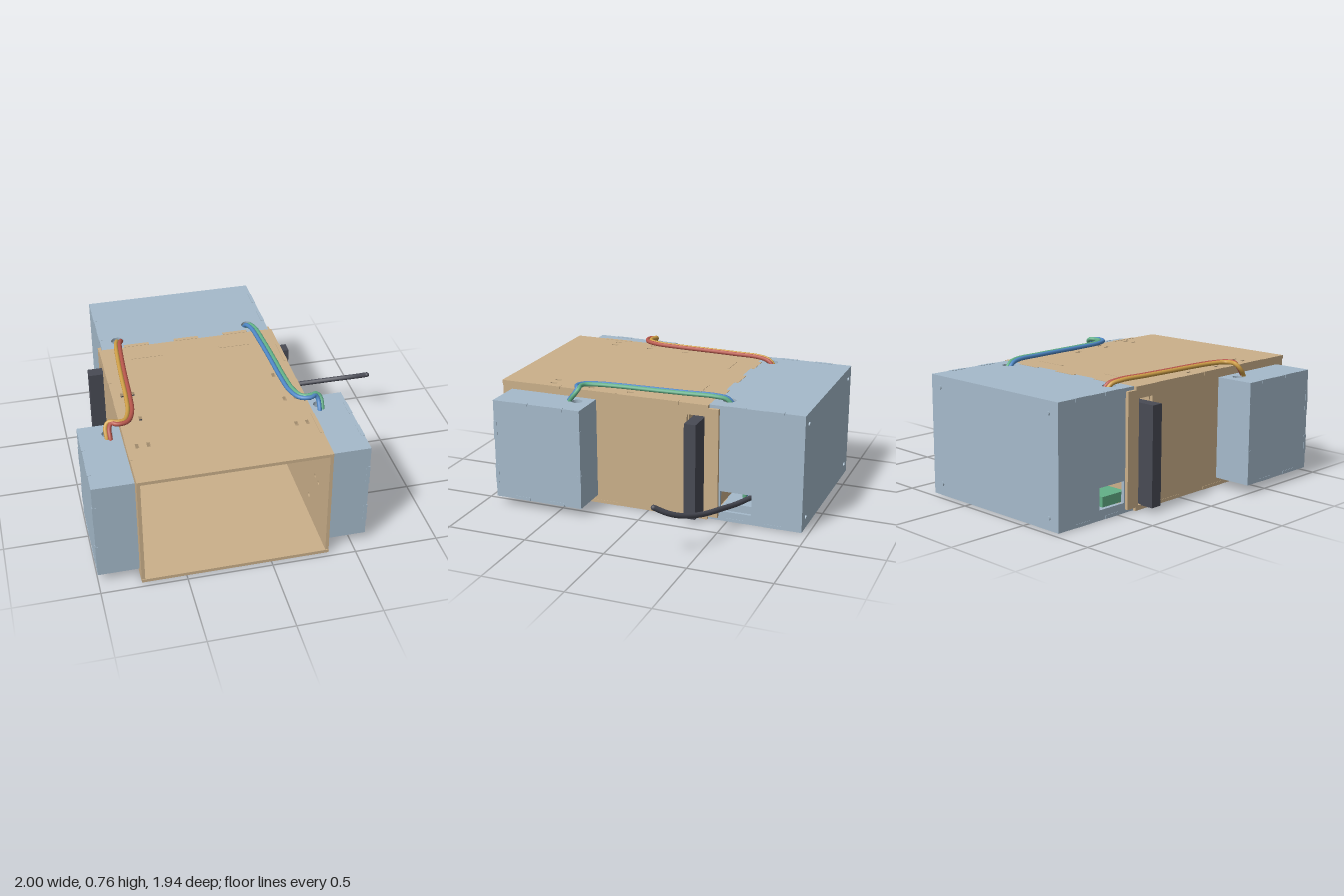
import * as THREE from 'three';

const mat = (name, color) => Object.assign(new THREE.MeshStandardMaterial({ color }), { name });
const M = {
  wood: mat('tan plywood', 0xcbb08a),
  blue: mat('pale blue panel', 0xa5bacb),
  dark: mat('dark grey', 0x484a54),
  green: mat('green', 0x62b088),
  wireBlue: mat('blue wire', 0x4f88c6),
  yellow: mat('yellow wire', 0xd0a048),
  red: mat('red wire', 0xb8574c),
};

const CX = -0.2075; // middle of the cabinet
const T = 0.02;     // panel thickness

const mesh = (parent, name, geo, material) => {
  const m = new THREE.Mesh(geo, material);
  m.name = name;
  parent.add(m);
  return m;
};

// Box given by its low and high limits on each axis
function block(parent, name, material, [x0, x1], [y0, y1], [z0, z1]) {
  const m = mesh(parent, name, new THREE.BoxGeometry(x1 - x0, y1 - y0, z1 - z0), material);
  m.position.set((x0 + x1) / 2, (y0 + y1) / 2, (z0 + z1) / 2);
  return m;
}

// Flat panel square to an axis; u,v are (z,y), (x,z) or (x,y).
// Holes are [u, v, radius] or [u0, u1, v0, v1].
function plate(parent, name, material, axis, low, [u0, u1], [v0, v1], holes = []) {
  const rect = (P, a, b, c, d) => {
    const p = new P();
    p.moveTo(a, c).lineTo(b, c).lineTo(b, d).lineTo(a, d).closePath();
    return p;
  };
  const shape = rect(THREE.Shape, u0, u1, v0, v1);
  for (const h of holes) {
    if (h.length === 3) shape.holes.push(new THREE.Path().absarc(h[0], h[1], h[2], 0, Math.PI * 2, true));
    else shape.holes.push(rect(THREE.Path, ...h));
  }
  const geo = new THREE.ExtrudeGeometry(shape, { depth: T, bevelEnabled: false, curveSegments: 12 });
  if (axis === 'x') geo.rotateY(-Math.PI / 2).translate(low + T, 0, 0);
  if (axis === 'y') geo.rotateX(Math.PI / 2).translate(0, low + T, 0);
  if (axis === 'z') geo.translate(0, 0, low);
  return mesh(parent, name, geo, material);
}

// Finger joints: slightly proud blocks along the long edges of a box
function edgeTabs(parent, material, [x0, x1], [y0, y1], zs, len) {
  const e = 0.002;
  for (const z of zs) for (const side of [0, 1]) for (const top of [0, 1]) {
    const x = side ? [x1 - T, x1 + e] : [x0 - e, x0 + T];
    const y = top ? [y1 - T, y1 + e] : [y0, y0 + T];
    block(parent, 'fingerJoint', material, x, y, [z - len / 2, z + len / 2]);
  }
}

function cabinet() {
  const g = new THREE.Group();
  g.name = 'woodenCabinet';
  const X = [-0.76, 0.345];
  const slots = [];
  for (const x of [-0.7, -0.635, 0.22, 0.285]) for (const z of [0.135, 0.39, 0.645])
    slots.push([x - 0.01, x + 0.01, z - 0.02, z + 0.02]);
  plate(g, 'topPanel', M.wood, 'y', 0.7, X, [-0.38, 0.97], slots);
  plate(g, 'bottomPanel', M.wood, 'y', 0, X, [-0.38, 0.97]);

  // Side walls with the tall slot for the screen and small fixing holes
  const wallHoles = [[-0.358, -0.248, 0.03, 0.65], [0.61, 0.15, 0.014]];
  for (const z of [0.445, 0.515, 0.705, 0.775]) wallHoles.push([z - 0.012, z + 0.012, 0.36, 0.385]);
  for (const x of [X[0], X[1] - T])
    plate(g, 'sideWall', M.wood, 'x', x, [-0.445, 0.965], [0.02, 0.7], wallHoles);

  // Window frame in front of the screen, and the rear divider
  plate(g, 'screenFrame', M.wood, 'z', -0.255, [-0.74, 0.325], [T, 0.7], [[-0.7, 0.285, 0.09, 0.6]]);
  plate(g, 'rearDivider', M.wood, 'z', -0.4, [-0.74, 0.325], [T, 0.7]);

  edgeTabs(g, M.wood, X, [0, 0.72], [-0.1, 0.3, 0.67], 0.19);
  for (const s of [-1, 1]) {
    block(g, 'frameTab', M.wood, [CX + s * 0.277 - 0.097, CX + s * 0.277 + 0.097], [0.7, 0.722], [-0.255, -0.235]);
    block(g, 'frameTab', M.wood, [CX + s * 0.277 - 0.097, CX + s * 0.277 + 0.097], [-0.002, 0.02], [-0.255, -0.235]);
  }
  for (const dx of [-0.315, 0, 0.315])
    for (const y of [[0.7, 0.722], [-0.002, 0.02]])
      block(g, 'dividerTab', M.wood, [CX + dx - 0.078, CX + dx + 0.078], y, [-0.405, -0.38]);
  return g;
}

function rearBox() {
  const g = new THREE.Group();
  g.name = 'rearElectronicsBox';
  const X = [-0.74, 0.325], Z = [-0.96, -0.38];
  plate(g, 'rearBoxTop', M.blue, 'y', 0.7, X, Z, [[-0.63, -0.465, 0.04], [0.21, -0.465, 0.04]]);
  plate(g, 'rearBoxBottom', M.blue, 'y', 0, X, Z);
  for (const x of [X[0], X[1] - T])
    plate(g, 'rearBoxSide', M.blue, 'x', x, [-0.94, -0.4], [T, 0.7], [[-0.65, -0.455, 0.06, 0.188]]);
  plate(g, 'rearBoxBack', M.blue, 'z', -0.96, X, [T, 0.7]);
  edgeTabs(g, M.blue, X, [0, 0.72], [-0.78, -0.55], 0.11);

  // Corner screws
  for (const x of [-0.665, 0.25]) for (const y of [0.07, 0.65]) {
    const s = mesh(g, 'screwHead', new THREE.CylinderGeometry(0.013, 0.013, 0.008, 12).rotateX(Math.PI / 2), M.blue);
    s.position.set(x, y, -0.964);
  }
  // Circuit board and power unit seen through the openings
  block(g, 'circuitBoard', M.green, [-0.715, -0.38], [0.06, 0.12], [-0.6, -0.42]);
  block(g, 'powerUnit', M.blue, [0.02, 0.29], [T, 0.1], [-0.66, -0.48]);
  return g;
}

function sideBox(s) {
  const g = new THREE.Group();
  g.name = s > 0 ? 'leftSideBox' : 'rightSideBox';
  const X = s > 0 ? [0.345, 0.585] : [-1, -0.76];
  const Y = [0.05, 0.67], Z = [0.335, 0.905];
  const innerY = [Y[0] + T, Y[1] - T];
  plate(g, 'sideBoxTop', M.blue, 'y', Y[1] - T, X, Z, [[CX + s * 0.6275, 0.425, 0.033]]);
  plate(g, 'sideBoxBottom', M.blue, 'y', Y[0], X, Z);
  for (const x of [X[0], X[1] - T])
    plate(g, 'sideBoxWall', M.blue, 'x', x, [Z[0] + T, Z[1] - T], innerY);
  for (const z of [Z[0], Z[1] - T])
    plate(g, 'sideBoxEnd', M.blue, 'z', z, X, innerY);

  // Finger joints on the outer wall
  const xo = s > 0 ? [X[1] - T, X[1] + 0.002] : [X[0] - 0.002, X[0] + T];
  for (const z of [0.5, 0.73]) for (const y of [[Y[0], Y[0] + T], [Y[1] - T, Y[1] + 0.002]])
    block(g, 'fingerJoint', M.blue, xo, y, [z - 0.055, z + 0.055]);
  for (const y of [0.2, 0.48]) for (const z of [[Z[0] - 0.002, Z[0] + T], [Z[1] - T, Z[1] + 0.002]])
    block(g, 'fingerJoint', M.blue, xo, [y - 0.06, y + 0.06], z);
  return g;
}

// Wire path for one side: distance from the middle, y, z, then offset direction in x and z
const WIRE = [
  [0.4, 0.12, -0.57, 1, 0], [0.405, 0.4, -0.53, 1, 0], [0.408, 0.67, -0.49, 1, 0],
  [0.415, 0.725, -0.455, 1, 0], [0.432, 0.742, -0.39, 1, 0], [0.448, 0.744, -0.2, 1, 0],
  [0.458, 0.744, 0, 1, 0], [0.466, 0.744, 0.2, 1, 0], [0.482, 0.744, 0.35, 1, -0.3],
  [0.518, 0.746, 0.43, 0.7, -0.7], [0.57, 0.748, 0.442, 0, -1], [0.61, 0.745, 0.425, 0.6, -0.7],
  [0.627, 0.72, 0.437, 0.8, -0.5], [0.627, 0.67, 0.475, 0.8, -0.5], [0.627, 0.6, 0.5, 0.8, -0.5],
];
function wire(parent, s, offset, material) {
  const pts = WIRE.map(([d, y, z, nx, nz]) =>
    new THREE.Vector3(CX + s * (d + nx * offset), y, z + nz * offset));
  const curve = new THREE.CatmullRomCurve3(pts);
  mesh(parent, material.name.replace(' wire', '') + 'Wire', new THREE.TubeGeometry(curve, 110, 0.013, 10), material);
}

export function createModel() {
  const root = new THREE.Group();
  root.name = 'speakerCabinet';
  root.add(cabinet(), rearBox(), sideBox(1), sideBox(-1));

  // Screen slab passing through both side walls
  block(root, 'screen', M.dark, [-0.845, 0.43], [0.025, 0.62], [-0.335, -0.262]);

  // Wire pairs to the side boxes
  const wires = new THREE.Group();
  wires.name = 'wires';
  wire(wires, -1, 0.012, M.yellow);
  wire(wires, -1, -0.012, M.red);
  wire(wires, 1, 0.012, M.green);
  wire(wires, 1, -0.012, M.wireBlue);
  root.add(wires);

  // Power cable with a closed end
  const path = [[0.12, 0.11, -0.62], [0.33, 0.125, -0.562], [0.5, 0.158, -0.53], [0.7, 0.195, -0.48],
    [0.85, 0.237, -0.42], [0.93, 0.275, -0.365], [0.985, 0.322, -0.3]].map(p => new THREE.Vector3(...p));
  mesh(root, 'powerCable', new THREE.TubeGeometry(new THREE.CatmullRomCurve3(path), 50, 0.016, 12), M.dark);
  const end = mesh(root, 'cableEnd', new THREE.SphereGeometry(0.016, 12, 8), M.dark);
  end.position.copy(path[path.length - 1]);
  return root;
}
